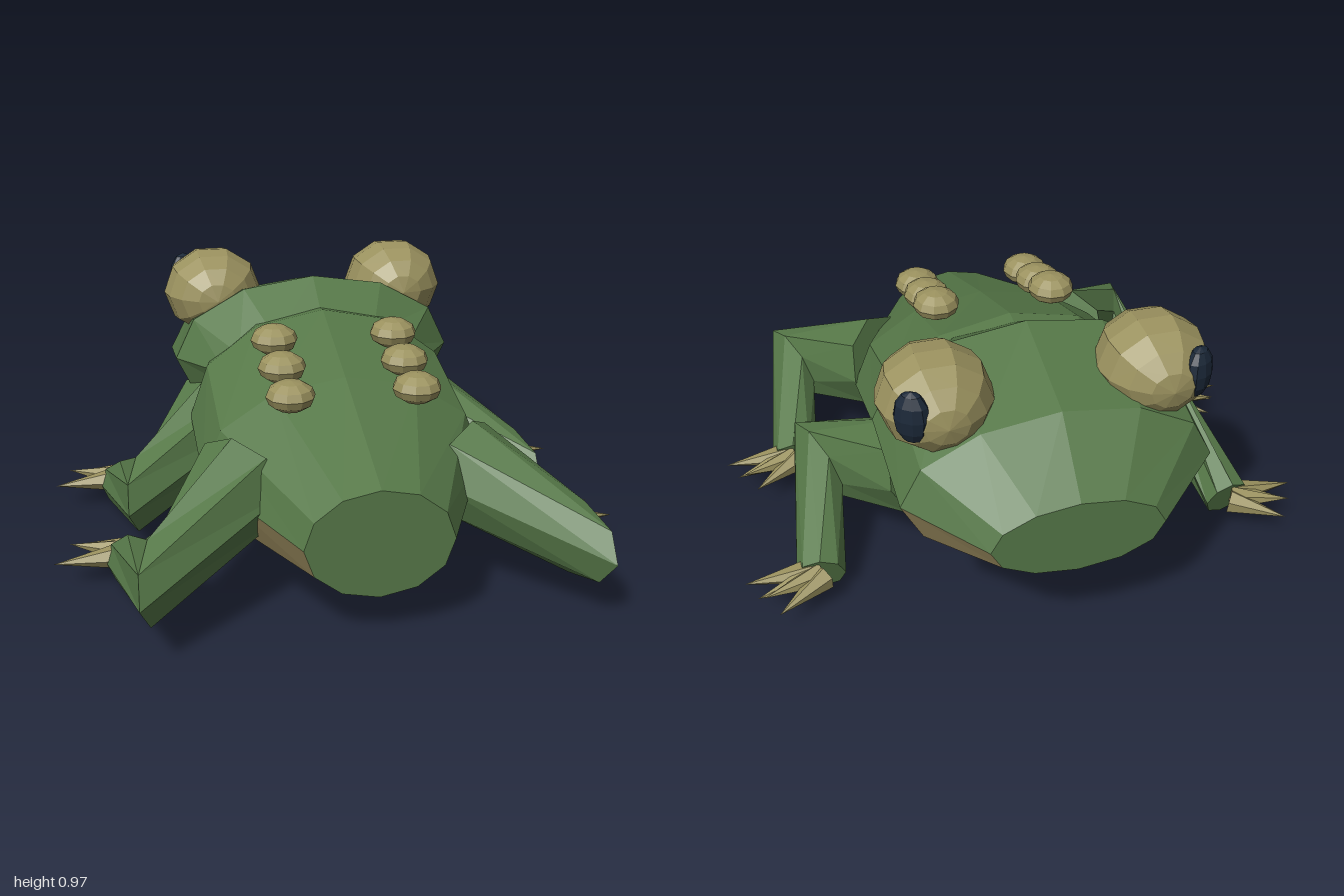
import * as THREE from 'three';

const V = (x, y, z) => new THREE.Vector3(x, y, z);

// Faceted skin over a list of closed rings, capped at both ends.
// isLower(i, k) sends side i of band k to the second material group.
function loft(rings, isLower = () => false) {
  const upper = [], lower = [], n = rings[0].length;
  for (let k = 0; k < rings.length - 1; k++) {
    for (let i = 0; i < n; i++) {
      const j = (i + 1) % n;
      const a = rings[k][i], b = rings[k][j], c = rings[k + 1][j], d = rings[k + 1][i];
      (isLower(i, k) ? lower : upper).push(a, b, c, a, c, d);
    }
  }
  const first = rings[0], last = rings[rings.length - 1];
  for (let i = 1; i < n - 1; i++) {
    upper.push(first[0], first[i + 1], first[i]);
    upper.push(last[0], last[i], last[i + 1]);
  }
  const g = new THREE.BufferGeometry().setFromPoints([...upper, ...lower]);
  g.addGroup(0, upper.length, 0);
  if (lower.length) g.addGroup(upper.length, lower.length, 1);
  g.computeVertexNormals();
  return g;
}

// Turns a built-in geometry into flat facets
function faceted(geometry) {
  const g = geometry.toNonIndexed();
  g.computeVertexNormals();
  return g;
}

// Elliptical ring of n points from an upward and a sideways half axis
function ellipse(center, up, across, n) {
  return Array.from({ length: n }, (_, i) => {
    const t = i * 2 * Math.PI / n;
    return center.clone().addScaledVector(up, Math.cos(t)).addScaledVector(across, Math.sin(t));
  });
}

// Twelve-sided sections: [z, centre y, half width, half height]
const sections = list => list.map(([z, cy, rx, ry]) =>
  ellipse(V(0, cy, z), V(0, ry, 0), V(rx, 0, 0), 12));

// Circle square to a direction
function circleAcross(center, direction, radius) {
  const t = direction.clone().normalize();
  const up = V(0, 1, 0).addScaledVector(t, -t.y).normalize();
  return ellipse(center, up.clone().multiplyScalar(radius), t.cross(up).multiplyScalar(radius), 8);
}

// Thigh and shin meeting in one long slanted knee ring; side = -1 mirrors it
function limbGeometry(side) {
  const hip = V(0.365, 0.38, -0.3), knee = V(0.68, 0.225, 0.025), ankle = V(0.745, 0.072, -0.415);
  const rings = [
    circleAcross(hip, knee.clone().sub(hip), 0.175),
    ellipse(knee, V(0.02, 0.125, 0), V(0.06, -0.015, 0.19), 8),
    circleAcross(ankle, ankle.clone().sub(knee), 0.083),
  ];
  if (side < 0) {
    for (const ring of rings) {
      ring.forEach(p => { p.x *= -1; });
      ring.reverse();
    }
  }
  return loft(rings);
}

export function createModel() {
  const mat = (name, color) => {
    const m = new THREE.MeshStandardMaterial({ color });
    m.name = name;
    return m;
  };
  const green = mat('skin green', 0x567848);
  const belly = mat('belly brown', 0x8f8157);
  const tan = mat('tan', 0x9b925f);
  const dark = mat('pupil dark blue', 0x1b2838);

  const model = new THREE.Group();
  model.name = 'frog';
  const add = (name, geometry, material, parent = model) => {
    const mesh = new THREE.Mesh(geometry, material);
    mesh.name = name;
    parent.add(mesh);
    return mesh;
  };
  const isLower = i => i >= 3 && i < 9;

  // Trunk and head, green above and brown below; the nape is green all round
  add('body', loft(sections([
    [0.79, 0.31, 0.24, 0.18],
    [0.27, 0.36, 0.49, 0.32],
    [-0.12, 0.44, 0.49, 0.37],
    [-0.44, 0.48, 0.38, 0.29],
  ]), isLower), [green, belly]);
  add('head', loft(sections([
    [-0.08, 0.6, 0.36, 0.145],
    [-0.31, 0.6, 0.52, 0.29],
    [-0.69, 0.53, 0.51, 0.26],
    [-0.89, 0.46, 0.28, 0.13],
  ]), (i, k) => k > 0 && isLower(i)), [green, belly]);

  // Shared geometries; the eyeball's poles lie along z
  const eyeFaces = faceted(new THREE.SphereGeometry(1, 10, 8).rotateX(Math.PI / 2));
  const ball = faceted(new THREE.SphereGeometry(1, 10, 6));

  const toeTips = [V(1, 0.08, -0.405), V(0.965, 0.055, -0.46), V(0.945, 0.1, -0.51), V(0.905, 0.07, -0.57)];

  for (const side of [1, -1]) {
    const label = side > 0 ? 'left' : 'right';

    // Eye, with a flat oval pupil facing outward
    const eye = add(label + 'Eye', eyeFaces, tan);
    eye.position.set(side * 0.355, 0.805, -0.515);
    eye.scale.set(0.185, 0.165, 0.2);
    const pupil = add(label + 'Pupil', ball, dark);
    pupil.position.set(side * 0.453, 0.833, -0.655);
    pupil.scale.set(0.06, 0.09, 0.04);
    pupil.rotation.y = Math.atan2(side * 0.1, -0.14);

    // Row of warts along the back
    [[0.77, 0.08], [0.72, 0.24], [0.675, 0.405]].forEach(([y, z], i) => {
      const wart = add(label + 'Wart' + (i + 1), ball, tan);
      wart.position.set(side * 0.21, y, z);
      wart.scale.set(0.082, 0.052, 0.085);
    });

    // Two identical legs per side, one behind the other, each with four toes
    ['head', 'tail'].forEach((end, i) => {
      const leg = new THREE.Group();
      leg.name = label + 'Leg' + (end === 'head' ? 'NearHead' : 'NearTail');
      leg.position.z = i * 0.67;
      model.add(leg);
      add('limb', limbGeometry(side), green, leg);
      toeTips.forEach((tip, k) => {
        const from = V(side * (0.775 - k * 0.012), 0.09, -0.41 - k * 0.014);
        const to = V(side * tip.x, tip.y, tip.z);
        const dir = to.clone().sub(from);
        const toe = add('toe' + (k + 1), faceted(new THREE.ConeGeometry(0.045, dir.length(), 6)), tan, leg);
        toe.position.copy(from).addScaledVector(dir, 0.5);
        toe.quaternion.setFromUnitVectors(V(0, 1, 0), dir.normalize());
      });
    });
  }
  return model;
}
